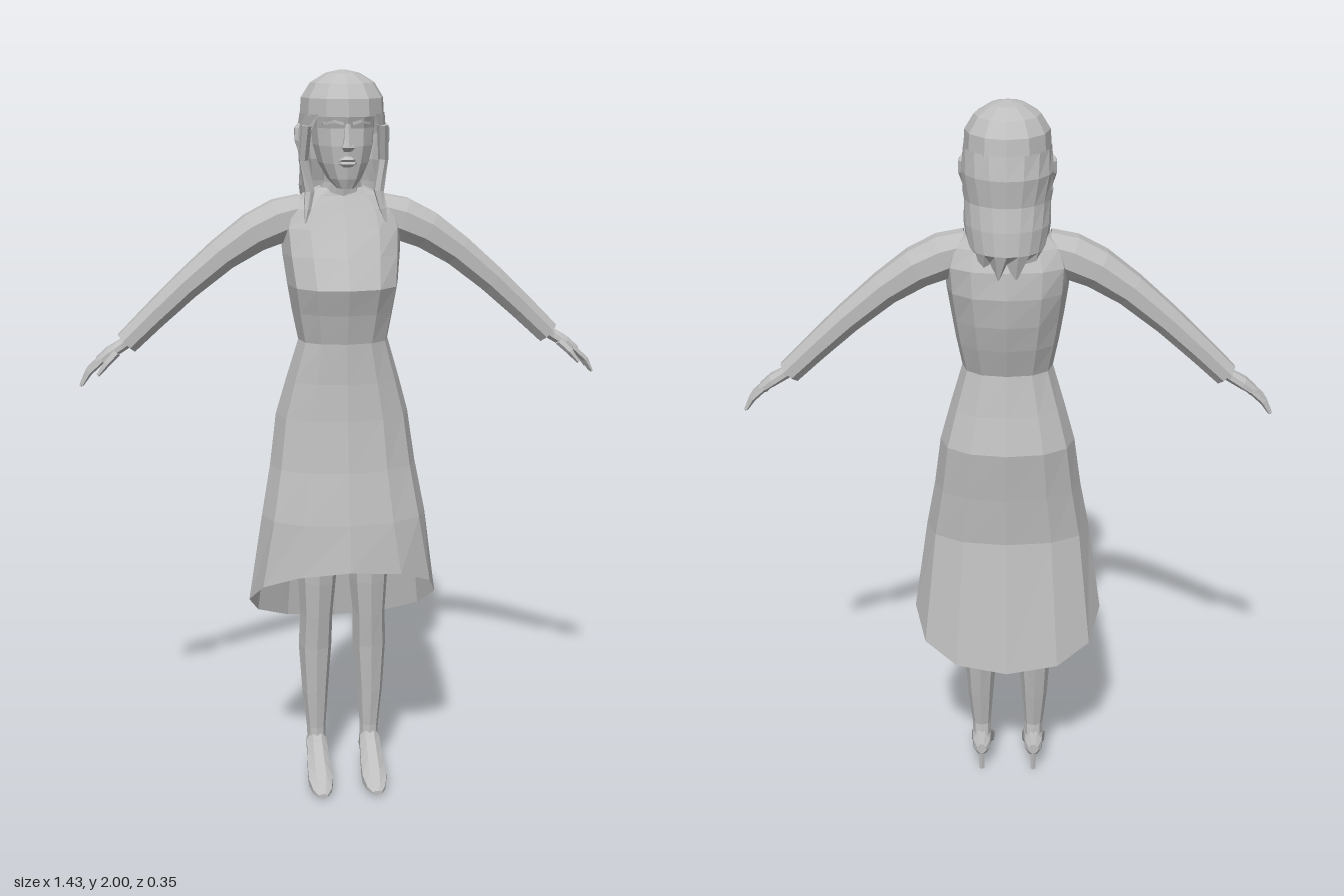
import * as THREE from 'three';

const V = (x, y, z) => new THREE.Vector3(x, y, z);
const grey = new THREE.MeshStandardMaterial({ color: 0xbebebe, flatShading: true, side: THREE.DoubleSide });
grey.name = 'grey';

// Flat-shaded skin over a list of rings; s = -1 mirrors it to the other side.
function loft(name, rings, { closed = true, capStart = false, capEnd = false, s = 1 } = {}) {
  const pos = [];
  const tri = (a, b, c) => {
    for (const p of s < 0 ? [a, c, b] : [a, b, c]) pos.push(p.x * s, p.y, p.z);
  };
  const n = rings[0].length, last = closed ? n : n - 1;
  for (let j = 0; j + 1 < rings.length; j++) {
    for (let i = 0; i < last; i++) {
      const k = (i + 1) % n, lo = rings[j], hi = rings[j + 1];
      tri(lo[i], lo[k], hi[k]);
      tri(lo[i], hi[k], hi[i]);
    }
  }
  const cap = (ring, flip) => {
    const c = ring.reduce((t, p) => t.add(p), V(0, 0, 0)).divideScalar(n);
    for (let i = 0; i < n; i++) {
      const a = ring[i], b = ring[(i + 1) % n];
      flip ? tri(c, b, a) : tri(c, a, b);
    }
  };
  if (capStart) cap(rings[0], true);
  if (capEnd) cap(rings[rings.length - 1], false);
  const g = new THREE.BufferGeometry();
  g.setAttribute('position', new THREE.Float32BufferAttribute(pos, 3));
  g.computeVertexNormals();
  const mesh = new THREE.Mesh(g, grey);
  mesh.name = name;
  return mesh;
}

// Horizontal oval from height, half width, front z and back z; a0 leaves a gap at the front.
function oval([y, rx, zf, zb], n, { cx = 0, a0 = 0, p = 1 } = {}) {
  const soft = (t) => Math.sign(t) * Math.abs(t) ** p;
  const span = Math.PI * 2 - 2 * a0;
  return Array.from({ length: n }, (_, i) => {
    const a = a0 + span * i / (a0 ? n - 1 : n);
    return V(cx + rx * soft(Math.sin(a)), y, (zf + zb) / 2 + (zf - zb) / 2 * soft(Math.cos(a)));
  });
}

// Limb along points [x, y, z, half depth, half thickness].
function limb(name, pts, n, s, open = false) {
  const c = pts.map(([x, y, z]) => V(x, y, z)), u = V(0, 0, 1);
  const rings = pts.map(([, , , ru, rv], j) => {
    const d = c[Math.min(j + 1, c.length - 1)].clone().sub(c[Math.max(j - 1, 0)]);
    const v = u.clone().cross(d).normalize();
    return Array.from({ length: n }, (_, i) => {
      const a = (i + 0.5) / n * Math.PI * 2;
      return c[j].clone().addScaledVector(u, ru * Math.sin(a)).addScaledVector(v, rv * Math.cos(a));
    });
  });
  return loft(name, rings, { capStart: !open, capEnd: !open, s });
}

export function createModel() {
  const model = new THREE.Group();
  model.name = 'woman';
  const add = (...m) => model.add(...m);

  // Skirt, with a hem that drops towards the back
  const hem = oval([0, 0.265, 0.175, -0.172], 12, { p: 0.9 });
  hem.forEach((q) => { q.y = 0.545 + q.z * 0.72; });
  const skirt = [
    [0.8, 0.228, 0.157, -0.112], [0.94, 0.202, 0.13, -0.125], [1.08, 0.183, 0.113, -0.142],
    [1.18, 0.155, 0.106, -0.115], [1.29, 0.122, 0.105, -0.092],
  ].map((r) => oval(r, 12, { p: 0.9 }));
  add(loft('skirt', [hem, ...skirt]));

  // Bodice, bust and shoulders
  const bodice = [
    [1.29, 0.122, 0.105, -0.092], [1.37, 0.138, 0.125, -0.12], [1.44, 0.15, 0.15, -0.14],
    [1.52, 0.16, 0.108, -0.152], [1.59, 0.165, 0.068, -0.145], [1.64, 0.15, 0.04, -0.12],
    [1.675, 0.11, 0.022, -0.1], [1.695, 0.066, 0.015, -0.085],
  ].map((r) => oval(r, 12, { p: 0.85 }));
  add(loft('bodice', bodice, { capEnd: true }));

  // Neck and head
  add(loft('neck', [[1.66, 0.068, 0.02, -0.085], [1.71, 0.052, 0.028, -0.07], [1.78, 0.05, 0.04, -0.07]]
    .map((r) => oval(r, 10))));
  const head = [
    [1.7, 0.024, 0.09, 0.03], [1.725, 0.047, 0.1, -0.03], [1.765, 0.068, 0.106, -0.075],
    [1.81, 0.08, 0.11, -0.1], [1.855, 0.084, 0.106, -0.11], [1.885, 0.086, 0.116, -0.115],
    [1.94, 0.075, 0.1, -0.1], [1.98, 0.04, 0.05, -0.05],
  ].map((r) => oval(r, 12, { p: 0.95 }));
  add(loft('head', head, { capStart: true, capEnd: true }));

  // Nose and lips
  add(loft('nose', [[1.797, 0.012, 0.113, 0.09], [1.808, 0.019, 0.135, 0.09], [1.82, 0.014, 0.131, 0.09],
    [1.868, 0.007, 0.112, 0.09]].map((r) => oval(r, 6)), { capStart: true, capEnd: true }));
  add(loft('lips', [[1.757, 0.014, 0.107, 0.08], [1.765, 0.024, 0.117, 0.08], [1.771, 0.026, 0.111, 0.08],
    [1.777, 0.022, 0.119, 0.08], [1.785, 0.01, 0.109, 0.08]].map((r) => oval(r, 8)), { capStart: true, capEnd: true }));

  // Hair: crown, open curtain with a ragged end
  const crown = [
    [1.885, 0.112, 0.123, -0.146], [1.93, 0.109, 0.12, -0.138], [1.968, 0.085, 0.092, -0.105],
    [1.992, 0.045, 0.05, -0.055], [2, 0.01, 0.01, -0.012],
  ].map((r) => oval(r, 12));
  add(loft('hairCrown', crown, { capEnd: true }));
  const curtain = [
    [1.565, 0.082, 0.05, -0.145, 1.5], [1.64, 0.104, 0.07, -0.168, 1.4], [1.7, 0.112, 0.08, -0.162, 1.3],
    [1.76, 0.112, 0.095, -0.15, 1.15], [1.83, 0.119, 0.11, -0.158, 0.95], [1.89, 0.113, 0.123, -0.146, 0.72],
  ].map((r) => oval(r, 13, { a0: r[4] }));
  curtain[0].forEach((q, i) => { q.y += i % 2 ? 0 : 0.05; });
  add(loft('hairCurtain', curtain, { closed: false }));

  for (const s of [1, -1]) {
    const side = s > 0 ? 'left' : 'right';
    const part = (name) => side + name;

    // Front locks, ears and brows
    add(limb(part('HairLock'), [[0.1, 1.86, 0.045, 0.035, 0.014], [0.106, 1.77, 0.02, 0.03, 0.013],
      [0.092, 1.69, 0.035, 0.024, 0.014], [0.1, 1.645, 0.055, 0.014, 0.01], [0.108, 1.61, 0.068, 0.003, 0.003]], 6, s));
    add(limb(part('Ear'), [[0.11, 1.785, 0, 0.008, 0.006], [0.117, 1.82, -0.008, 0.02, 0.01],
      [0.117, 1.85, -0.012, 0.018, 0.01], [0.112, 1.862, -0.01, 0.008, 0.005]], 6, s));
    add(limb(part('Brow'), [[0.012, 1.868, 0.104, 0.01, 0.005], [0.036, 1.874, 0.098, 0.01, 0.005],
      [0.062, 1.866, 0.078, 0.008, 0.004]], 4, s));

    // Sleeve with an open cuff
    add(limb(part('Sleeve'), [[0.1, 1.625, -0.038, 0.052, 0.055], [0.165, 1.606, -0.038, 0.056, 0.062],
      [0.235, 1.575, -0.038, 0.056, 0.056], [0.32, 1.518, -0.038, 0.051, 0.047], [0.42, 1.435, -0.039, 0.045, 0.041],
      [0.51, 1.352, -0.04, 0.038, 0.037], [0.583, 1.282, -0.04, 0.033, 0.034]], 8, s, true));

    // Hand, fingers and thumb
    add(limb(part('Hand'), [[0.56, 1.302, -0.038, 0.022, 0.02], [0.595, 1.277, -0.036, 0.021, 0.017],
      [0.628, 1.258, -0.034, 0.034, 0.017], [0.66, 1.235, -0.034, 0.036, 0.012]], 8, s));
    for (let f = 0; f < 4; f++) {
      const z = -0.061 + f * 0.018, reach = [0.86, 0.98, 1, 0.9][f];
      add(limb(part('Finger' + (f + 1)), [[0.65, 1.242, z, 0.009, 0.009],
        [0.65 + 0.04 * reach, 1.242 - 0.036 * reach, z, 0.008, 0.009],
        [0.65 + 0.06 * reach, 1.242 - 0.072 * reach, z, 0.005, 0.004]], 5, s));
    }
    add(limb(part('Thumb'), [[0.61, 1.262, -0.015, 0.012, 0.012], [0.638, 1.235, 0.002, 0.01, 0.01],
      [0.662, 1.205, 0.008, 0.005, 0.005]], 5, s));

    // Leg: [y, half width, front z, back z, centre x]
    const leg = [
      [0.1, 0.026, 0.028, -0.028, 0.076], [0.15, 0.027, 0.026, -0.021, 0.077], [0.26, 0.037, 0.036, -0.041, 0.079],
      [0.4, 0.047, 0.046, -0.062, 0.078], [0.5, 0.046, 0.058, -0.055, 0.075], [0.6, 0.054, 0.068, -0.064, 0.073],
      [0.8, 0.066, 0.08, -0.075, 0.073], [0.98, 0.072, 0.08, -0.085, 0.078],
    ].map((r) => oval(r, 8, { cx: r[4] }));
    add(loft(part('Leg'), leg, { capEnd: true, s }));

    // High-heeled shoe: [z, sole y, top y, half width]
    const shoe = [
      [-0.038, 0.06, 0.09, 0.014], [-0.024, 0.048, 0.125, 0.026], [0.015, 0.05, 0.14, 0.029], [0.04, 0.036, 0.112, 0.031],
      [0.08, 0.008, 0.078, 0.034], [0.115, 0, 0.053, 0.035], [0.15, 0, 0.03, 0.027], [0.172, 0.003, 0.016, 0.013],
    ].map(([z, lo, hi, w]) => Array.from({ length: 8 }, (_, i) => {
      const a = (i + 0.5) / 8 * Math.PI * 2;
      return V(0.077 - 1.06 * w * Math.sin(a), (lo + hi) / 2 + (hi - lo) * 0.54 * Math.cos(a), z);
    }));
    shoe.flat().forEach((q) => { q.y = Math.max(q.y, 0); });
    add(loft(part('Shoe'), shoe, { capStart: true, capEnd: true, s }));
    add(loft(part('Heel'), [[0, 0.008, -0.016, -0.034], [0.04, 0.01, -0.01, -0.035], [0.075, 0.018, 0.008, -0.036]]
      .map((r) => oval(r, 6, { cx: 0.077 })), { capStart: true, capEnd: true, s }));
  }
  return model;
}
